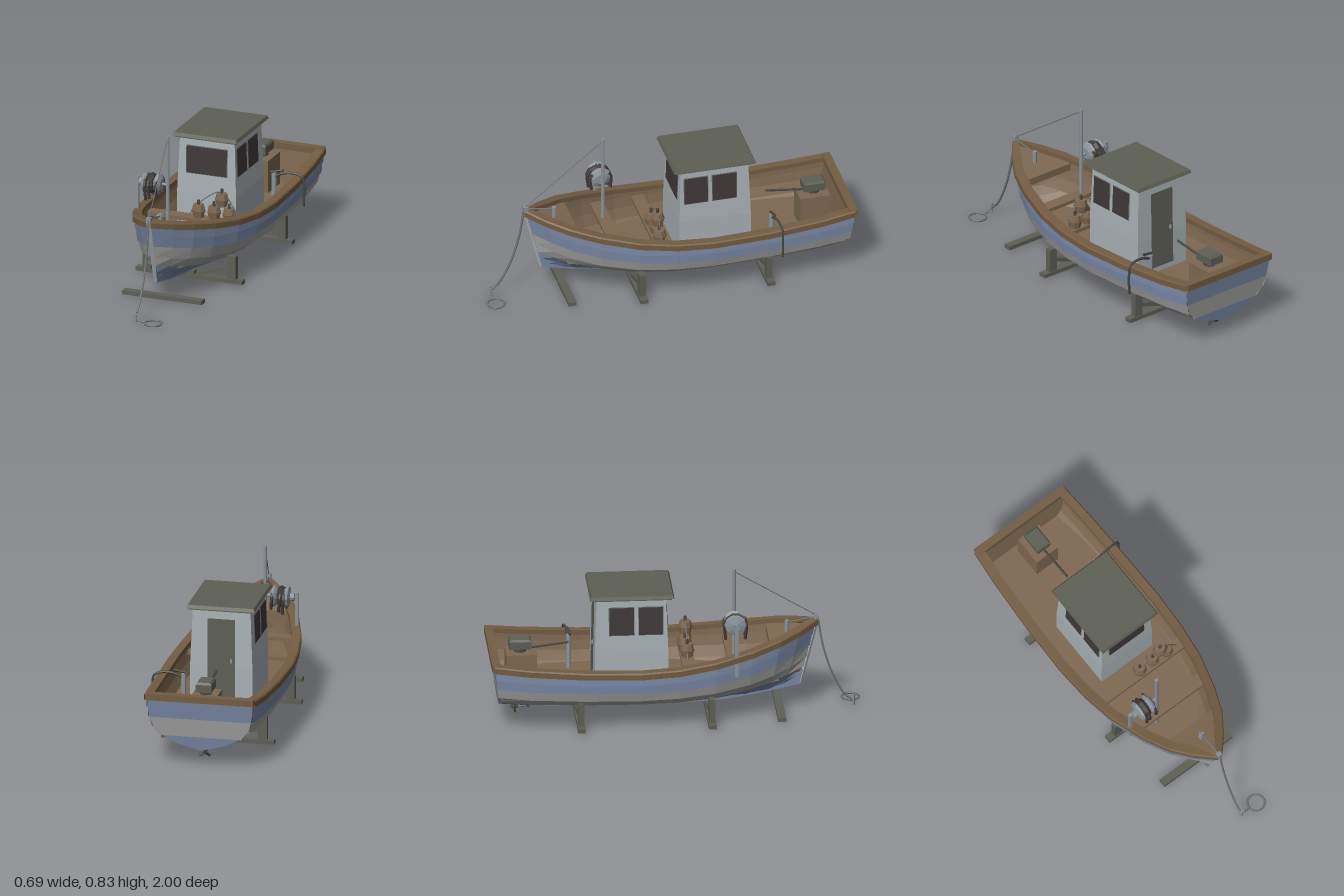
import * as THREE from 'three';

const mat = (name, color) => new THREE.MeshStandardMaterial({ name, color, flatShading: true, side: THREE.DoubleSide });

// Stations from stern to bow: z, half width, sheer height, bottom height
const STATIONS = [
  [-0.985, 0.288, 0.385, 0.085], [-0.8, 0.304, 0.364, 0.075], [-0.5, 0.318, 0.344, 0.07],
  [-0.2, 0.324, 0.338, 0.068], [0, 0.313, 0.346, 0.068], [0.2, 0.285, 0.37, 0.07],
  [0.4, 0.228, 0.406, 0.08], [0.55, 0.165, 0.441, 0.1], [0.66, 0.09, 0.468, 0.12], [0.757, 0.002, 0.495, 0.145],
];
// Plank edges of the cross-section, from sheer to keel
const FX = [1, 0.99, 0.96, 0.89, 0.73, 0.45, 0];
const FY = [1, 0.785, 0.6, 0.41, 0.26, 0.12, 0];
const clamp = THREE.MathUtils.clamp;
const bowness = (z) => clamp((z - 0.1) / 0.6, 0, 1);

// Hull half width and heights at any z
function at(z) {
  let i = 0;
  while (i < STATIONS.length - 2 && STATIONS[i + 1][0] < z) i++;
  const a = STATIONS[i], b = STATIONS[i + 1], t = clamp((z - a[0]) / (b[0] - a[0]), 0, 1);
  return a.map((v, k) => v + (b[k] - v) * t);
}

// Point of plank edge k at a station; out pushes sideways
function hullPoint([z, w, y, b], k, out = 0, up = 0) {
  const f = bowness(z), h = 1 - FY[k];
  const x = w * FX[k] ** (1 + f) + (FX[k] > 0 ? out : 0);
  const rake = z > 0.1 ? -0.09 * f * f * h : z < -0.8 ? 0.035 * h : 0;
  return [Math.max(x, 0), b + (y - b) * FY[k] + up, z + rake];
}

// Surface through rows of points
function loft(rows) {
  const pos = [];
  for (let i = 0; i < rows.length - 1; i++) {
    for (let j = 0; j < rows[i].length - 1; j++) {
      const a = rows[i][j], b = rows[i][j + 1], c = rows[i + 1][j + 1], d = rows[i + 1][j];
      pos.push(...a, ...b, ...c, ...a, ...c, ...d);
    }
  }
  const g = new THREE.BufferGeometry();
  g.setAttribute('position', new THREE.Float32BufferAttribute(pos, 3));
  g.computeVertexNormals();
  return g;
}
const flip = (rows, s) => rows.map((r) => {
  const m = r.map(([x, y, z]) => [x * s, y, z]);
  return s < 0 ? m.reverse() : m;
});

export function createModel() {
  const blue = mat('hullBlue', 0x7887a5), grey = mat('bandGrey', 0xa09f9e), wood = mat('wood', 0x7e6850);
  const rail = mat('railWood', 0x735c42), paint = mat('cabinPaint', 0xa9b1b5), olive = mat('oliveGrey', 0x5d5f54);
  const dark = mat('darkGlass', 0x403838), metal = mat('metal', 0x899299), rope = mat('ropeGrey', 0x6c7173);
  const iron = mat('darkIron', 0x45473f);

  const model = new THREE.Group();
  model.name = 'fishingBoat';
  const boat = new THREE.Group();
  boat.name = 'boat';
  boat.position.x = -0.008;
  model.add(boat);

  const add = (name, geo, m, x = 0, y = 0, z = 0, parent = boat) => {
    const mesh = new THREE.Mesh(geo, m);
    mesh.name = name;
    mesh.position.set(x, y, z);
    parent.add(mesh);
    return mesh;
  };
  const box = (name, m, w, h, d, x, y, z, parent) => add(name, new THREE.BoxGeometry(w, h, d), m, x, y, z, parent);
  const cyl = (name, m, r1, r2, h, x, y, z, n = 8) => add(name, new THREE.CylinderGeometry(r1, r2, h, n), m, x, y, z);
  const rod = (name, m, a, b, r, n = 6) => {
    const p = new THREE.Vector3(...a), q = new THREE.Vector3(...b), d = q.clone().sub(p);
    const mesh = add(name, new THREE.CylinderGeometry(r, r, d.length(), n), m, ...p.add(q).multiplyScalar(0.5).toArray());
    mesh.quaternion.setFromUnitVectors(new THREE.Vector3(0, 1, 0), d.normalize());
    return mesh;
  };
  const tube = (name, m, pts, r, seg = 20) => add(name, new THREE.TubeGeometry(
    new THREE.CatmullRomCurve3(pts.map((p) => new THREE.Vector3(...p))), seg, r, 6), m);

  // Lapped hull planks, inner lining and rail on both sides
  const bandColours = [blue, blue, grey, grey, blue, blue];
  for (const s of [1, -1]) {
    bandColours.forEach((m, k) => add('hullPlank', loft(flip(STATIONS.map((st) => [
      hullPoint(st, k), hullPoint(st, k + 1, k < 4 ? 0.008 : 0), hullPoint(st, k + 1)]), s)), m));
    add('innerLining', loft(flip(STATIONS.map((st) =>
      [5, 4, 3, 2, 1, 0].map((k) => hullPoint(st, k, -0.014, k ? 0.012 : 0))), s)), wood);
    const rows = STATIONS.map(([z, w, y], i) => {
      const p = STATIONS[Math.max(i - 1, 0)], q = STATIONS[Math.min(i + 1, STATIONS.length - 1)];
      const dx = q[1] - p[1], dz = q[0] - p[0], l = Math.hypot(dx, dz);
      const off = (o, h) => [Math.max(w + (o * dz) / l, 0), y + h, z - (o * dx) / l];
      return [off(0.015, -0.022), off(0.015, 0.008), off(0.009, 0.015), off(-0.036, 0.015), off(-0.036, -0.01), off(0.015, -0.022)];
    });
    add('gunwaleRail', loft(flip(rows, s)), rail);
  }

  // Transom in colour bands, with wooden inside and top rail
  bandColours.forEach((m, k) => add('transomBand', loft([k, k + 1].map((j) => {
    const p = hullPoint(STATIONS[0], j);
    return [[p[0], p[1], p[2]], [-p[0], p[1], p[2]]];
  })), m));
  add('transomLining', loft([0, 1, 2, 3, 4].map((j) => {
    const p = hullPoint(STATIONS[0], j, -0.012);
    return [[-p[0], p[1], p[2] + 0.022], [p[0], p[1], p[2] + 0.022]];
  })), wood);
  box('transomRail', rail, 0.59, 0.035, 0.045, 0, 0.384, -0.9775);

  // Keel and stem
  const keel = new THREE.Shape([[0.672, 0.135], [0.5, 0.098], [0.3, 0.062], [0.15, 0.05], [-0.7, 0.05],
    [-0.7, 0.085], [0.3, 0.085], [0.55, 0.13], [0.69, 0.22]].map((p) => new THREE.Vector2(...p)));
  add('keel', new THREE.ExtrudeGeometry(keel, { depth: 0.016, bevelEnabled: false }).rotateY(-Math.PI / 2), blue, 0.008);
  rod('stem', paint, [0, 0.14, 0.67], [0, 0.51, 0.763], 0.011, 4);
  box('stemHead', metal, 0.026, 0.03, 0.024, 0, 0.515, 0.757);
  rod('stemPin', metal, [0, 0.52, 0.757], [0, 0.54, 0.757], 0.005);

  // Floor, foredeck and thwarts
  add('floor', loft([-0.95, -0.8, -0.5, -0.2, 0, 0.2, 0.4, 0.55].map((z) => {
    const w = at(z)[1] * (0.87 - 0.4 * bowness(z));
    return [[-w, 0.19, z], [w, 0.19, z]];
  })), wood);
  add('foredeck', loft([0.5, 0.55, 0.66, 0.74].map((z) => {
    const [, w, y] = at(z);
    return [[-w * 0.96, y - 0.018, z], [w * 0.96, y - 0.018, z]];
  })), wood);
  const bulkW = at(0.5)[1];
  add('foredeckBeam', loft([[[-bulkW * 0.95, 0.37, 0.5], [bulkW * 0.95, 0.37, 0.5]],
    [[-bulkW * 0.96, 0.41, 0.5], [bulkW * 0.96, 0.41, 0.5]]]), wood);
  box('thwart', wood, 0.575, 0.02, 0.07, 0, 0.3, 0.065);
  box('thwart', wood, 0.47, 0.02, 0.07, 0, 0.33, 0.305);

  // Tapered cabin
  const taper = (y) => 1 - 0.075 * clamp((y - 0.4) / 0.315, 0, 1);
  const ring = (y) => {
    const x = 0.17 * taper(y), d = 0.197 - 0.011 * (1 - taper(y)) / 0.075, c = -0.245;
    return [[-x, y, c + d], [x, y, c + d], [x, y, c - d], [-x, y, c - d], [-x, y, c + d]];
  };
  add('cabinWalls', loft([ring(0.19), ring(0.4), ring(0.715)]), paint);
  box('roofTrim', olive, 0.35, 0.012, 0.425, 0, 0.714, -0.242);
  add('roof', new THREE.CylinderGeometry(0.5, 0.52, 1, 4, 1).rotateY(Math.PI / 4), olive, 0, 0.727, -0.242)
    .scale.set(0.374 / 0.7354, 0.018, 0.452 / 0.7354);

  // Windows follow the sloping walls
  const frontZ = (y) => ring(y)[0][2];
  const pane = (name, m, a, b, y0, y1, place) => add(name, loft([y0, y1].map((y) => [place(a, y), place(b, y)])), m);
  const onFront = (o) => (u, y) => [u, y, frontZ(y) + o];
  pane('frontWindowFrame', rope, -0.12, 0.12, 0.506, 0.664, onFront(0.002));
  pane('frontWindow', dark, -0.116, 0.116, 0.51, 0.66, onFront(0.005));
  for (const s of [1, -1]) {
    const onSide = (o) => (u, y) => [s * (0.17 * taper(y) + o), y, u];
    for (const [a, b] of [[-0.205, -0.077], [-0.363, -0.232]]) {
      pane('sideWindowFrame', rope, a - 0.004, b + 0.004, 0.506, 0.668, onSide(0.002));
      pane('sideWindow', dark, a, b, 0.51, 0.664, onSide(0.005));
    }
  }
  pane('door', olive, 0.075, -0.075, 0.22, 0.66, (u, y) => [u, y, -0.49 - frontZ(y) - 0.005]);
  box('doorHandle', metal, 0.012, 0.02, 0.01, -0.055, 0.43, -0.447);

  // Mast, stay and foredeck bollard
  rod('mast', metal, [-0.077, 0.19, 0.31], [-0.077, 0.835, 0.31], 0.01, 8);
  rod('stay', rope, [-0.077, 0.82, 0.315], [0, 0.525, 0.757], 0.0025, 5);
  cyl('bollard', metal, 0.012, 0.012, 0.07, 0, 0.465, 0.6);
  rod('bollardBar', metal, [-0.02, 0.488, 0.6], [0.02, 0.488, 0.6], 0.005);
  rod('bowLine', rope, [0, 0.488, 0.6], [0, 0.515, 0.757], 0.004);

  // Net hauler with draped net
  box('haulerPost', metal, 0.018, 0.3, 0.018, -0.252, 0.435, 0.31);
  rod('haulerShaft', metal, [-0.25, 0.56, 0.31], [-0.077, 0.56, 0.31], 0.008);
  const drum = [[0, 0], [0.022, 0], [0.022, 0.022], [0.055, 0.03], [0.06, 0.042], [0.03, 0.065], [0.03, 0.085],
    [0.06, 0.105], [0.055, 0.117], [0.03, 0.13], [0, 0.13]].map((p) => new THREE.Vector2(...p));
  add('haulerDrum', new THREE.LatheGeometry(drum, 10).rotateZ(-Math.PI / 2), metal, -0.238, 0.56, 0.31);
  add('netCoil', new THREE.TorusGeometry(0.038, 0.02, 6, 10).rotateY(Math.PI / 2), dark, -0.166, 0.56, 0.31);
  for (let i = 0; i < 6; i++) {
    const x = -0.188 + (i % 3) * 0.02 + (i % 3 === 2 ? 0.022 : 0), s = i < 3 ? 1 : -1;
    tube('netStrand', dark, [[x, 0.605, 0.31], [x, 0.57, 0.31 + s * 0.055], [x + 0.006, 0.475 + 0.012 * (i % 3), 0.31 + s * 0.052]], 0.009, 6);
  }

  // Small kegs on the thwart, held by a rope
  for (const [x, y, z] of [[0, 0.345, 0.065], [0.088, 0.345, 0.06], [0.178, 0.345, 0.065], [0.135, 0.425, 0.065]]) {
    cyl('keg', wood, 0.03, 0.037, 0.035, x, y + 0.0175, z);
    cyl('kegBase', wood, 0.037, 0.03, 0.035, x, y - 0.0175, z);
    cyl('kegBand', rail, 0.039, 0.039, 0.008, x, y, z);
    cyl('kegBung', iron, 0.008, 0.008, 0.03, x, y + 0.045, z);
  }
  tube('kegRope', rope, [[-0.055, 0.312, 0.065], [0, 0.385, 0.065], [0.135, 0.468, 0.065], [0.2, 0.39, 0.065], [0.245, 0.312, 0.065]], 0.003);

  // Engine on a wooden box, with tiller and propeller
  box('engineBox', wood, 0.14, 0.18, 0.165, 0, 0.28, -0.825);
  cyl('engineNeck', iron, 0.03, 0.035, 0.03, 0, 0.382, -0.83);
  box('engine', olive, 0.085, 0.042, 0.12, 0, 0.413, -0.83);
  add('engineCap', new THREE.CylinderGeometry(0.5, 0.6, 1, 4, 1).rotateY(Math.PI / 4), olive, 0, 0.439, -0.83).scale.set(0.1, 0.012, 0.141);
  rod('tiller', iron, [0, 0.388, -0.77], [0, 0.412, -0.57], 0.007);
  box('propellerStrut', blue, 0.016, 0.05, 0.04, 0, 0.075, -0.82);
  rod('propellerShaft', iron, [0, 0.055, -0.78], [0, 0.05, -0.88], 0.009);
  for (let i = 0; i < 3; i++) {
    const blade = new THREE.BoxGeometry(0.02, 0.032, 0.005).rotateY(0.6).translate(0, 0.02, 0).rotateZ((i * 2 * Math.PI) / 3);
    add('propellerBlade', blade, iron, 0, 0.051, -0.86);
  }

  // Bilge pump with hose over the side
  cyl('pump', metal, 0.014, 0.014, 0.19, 0.18, 0.285, -0.555);
  rod('pumpHandle', iron, [0.165, 0.385, -0.55], [0.235, 0.4, -0.56], 0.007);
  tube('pumpHose', iron, [[0.18, 0.36, -0.555], [0.25, 0.385, -0.565], [0.31, 0.383, -0.57], [0.34, 0.365, -0.573],
    [0.346, 0.32, -0.573], [0.345, 0.208, -0.573]], 0.007, 24);

  // Mooring line, stake and coil on the ground
  tube('mooringLine', rope, [[0, 0.515, 0.765], [0.001, 0.33, 0.797], [0.001, 0.17, 0.85], [0, 0.064, 0.91], [0, 0.03, 0.95]], 0.006);
  rod('stake', metal, [0, 0, 0.955], [0, 0.06, 0.955], 0.008);
  rod('stakeBar', metal, [-0.015, 0.045, 0.955], [0.015, 0.045, 0.955], 0.005);
  tube('lineTail', rope, [[0, 0.03, 0.95], [0.025, 0.013, 0.952], [0.058, 0.008, 0.947]], 0.005, 8);
  add('ropeCoil', new THREE.TorusGeometry(0.047, 0.006, 6, 18).rotateX(Math.PI / 2), rope, 0.102, 0.008, 0.947);

  // Cradles under the hull and a loose timber
  for (const z of [0.18, -0.52]) {
    const cradle = new THREE.Group();
    cradle.name = 'cradle';
    cradle.position.z = z;
    boat.add(cradle);
    box('crossbeam', olive, 0.617, 0.022, 0.042, 0, 0.019, 0, cradle);
    box('centreBlock', olive, 0.058, 0.02, 0.036, 0, 0.04, 0, cradle);
    for (const s of [1, -1]) {
      box('post', olive, 0.05, 0.13, 0.032, s * 0.244, 0.095, 0, cradle);
      box('brace', olive, 0.2, 0.02, 0.024, s * 0.134, 0.06, 0, cradle).rotation.z = s * 0.3;
    }
  }
  box('looseTimber', olive, 0.46, 0.022, 0.043, 0, 0.018, 0.557);
  return model;
}
